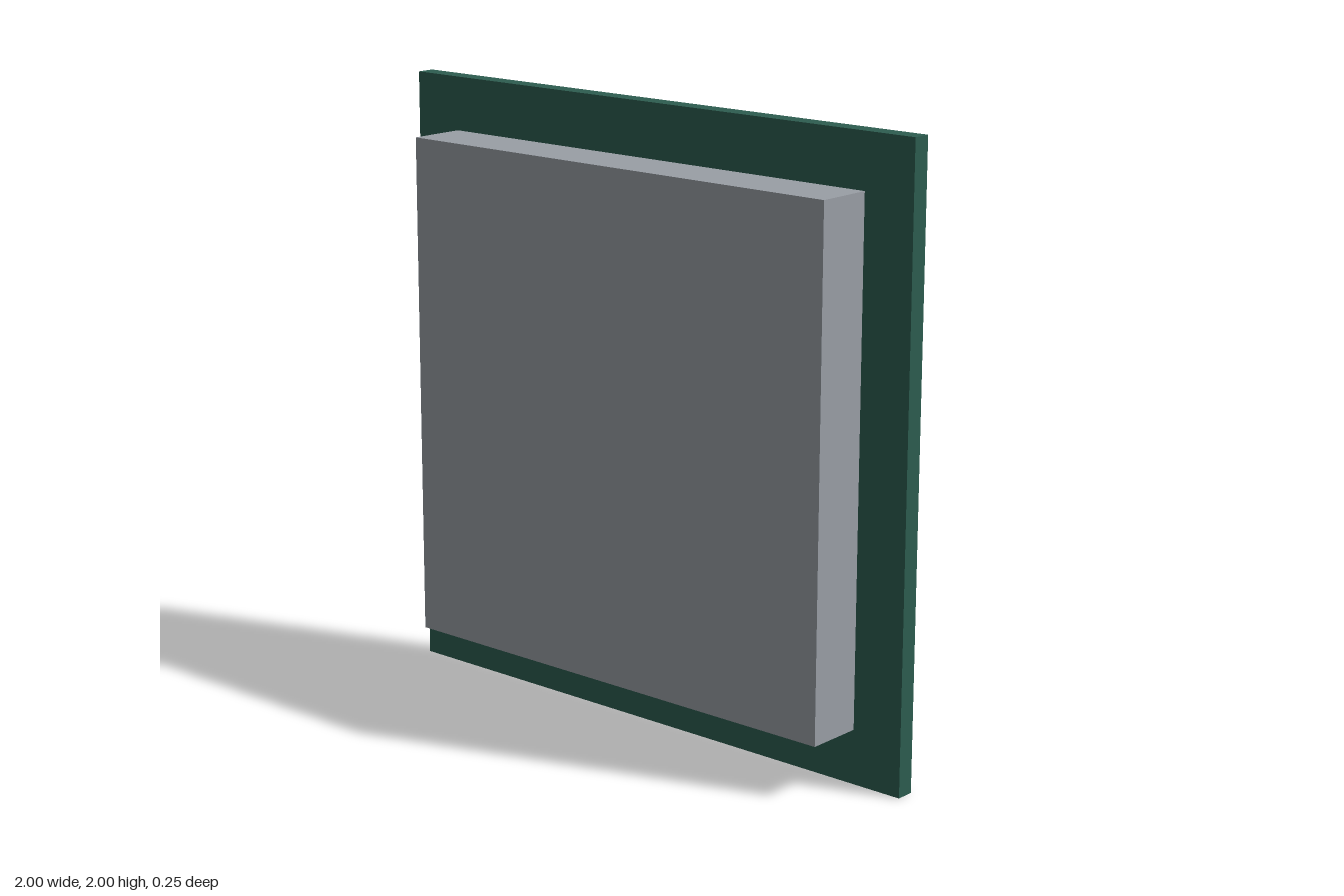
import * as THREE from 'three';

// Box given by its size and z extent, centred on x = 0 and y = 1
function slab(name, size, zBack, zFront, color) {
  const mesh = new THREE.Mesh(
    new THREE.BoxGeometry(size, size, zFront - zBack),
    new THREE.MeshStandardMaterial({ color })
  );
  mesh.name = name;
  mesh.position.set(0, 1, (zBack + zFront) / 2);
  return mesh;
}

export function createModel() {
  const group = new THREE.Group();
  group.name = 'mountedPanel';
  const joint = -0.065;

  // Thin green backing board
  group.add(slab('backingBoard', 2, -0.125, joint, 0x2d5d50));

  // Raised grey block on the front of the board
  group.add(slab('raisedBlock', 1.65, joint, 0.125, 0x9a9fa6));

  return group;
}
